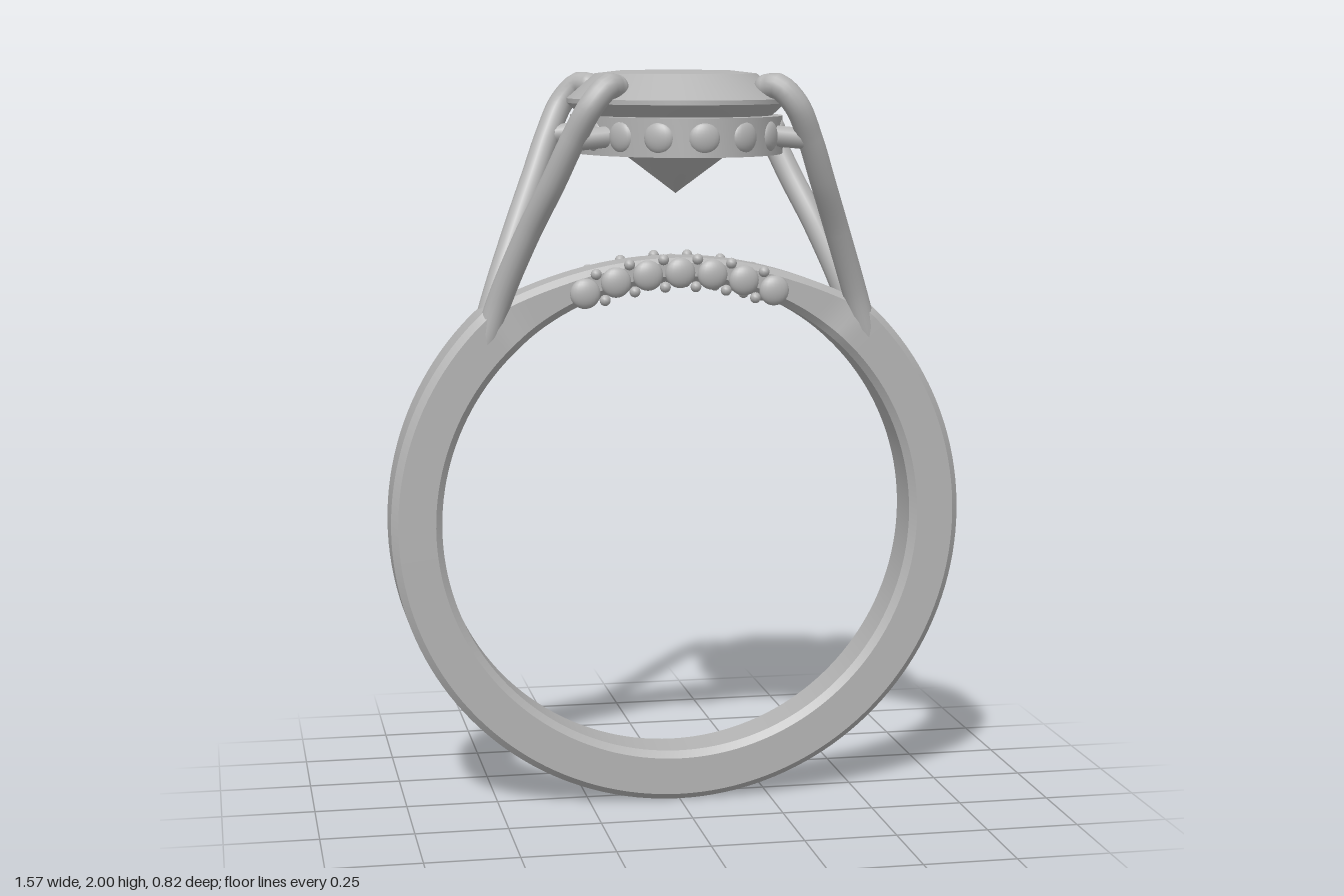
import * as THREE from 'three';
import { toCreasedNormals } from 'three/addons/utils/BufferGeometryUtils.js';

const CY = 0.785; // centre height of the band

export function createModel() {
  const root = new THREE.Group();
  root.name = 'ring';
  const metal = new THREE.MeshStandardMaterial({ color: 0xb4b4b4 });
  metal.name = 'greyMetal';

  const add = (geometry, name, parent = root) => {
    const mesh = new THREE.Mesh(geometry, metal);
    mesh.name = name;
    parent.add(mesh);
    return mesh;
  };
  const group = (name) => {
    const g = new THREE.Group();
    g.name = name;
    root.add(g);
    return g;
  };

  // Band: chamfered section swept round the finger, flattened into a bridge on top
  add(bandGeometry(), 'band');

  // Side stones and their beads along both faces of the bridge
  const sideStones = group('bridgeStones');
  const stone = new THREE.SphereGeometry(0.041, 20, 14);
  const bead = new THREE.SphereGeometry(0.015, 10, 8);
  const place = (geometry, name, r, t, z) => {
    const m = add(geometry, name, sideStones);
    m.position.set(r * Math.sin(t), CY + r * Math.cos(t), z);
    return m;
  };
  const step = 0.131;
  for (const s of [-1, 1]) {
    for (let i = -3; i <= 3; i++) {
      place(stone, 'bridgeStone', 0.675, i * step, s * 0.07).scale.z = 0.5;
    }
    for (let i = -3; i < 3; i++) {
      for (const r of [0.639, 0.713]) place(bead, 'bead', r, (i + 0.5) * step, s * 0.075);
    }
  }

  // Oval centre gem: pavilion, girdle, crown and table
  const oval = (profile, rx, rz, crease) => {
    const pts = profile.map(([r, y]) => new THREE.Vector2(r, y));
    return toCreasedNormals(new THREE.LatheGeometry(pts, 64).scale(rx, 1, rz), crease);
  };
  add(oval([[0, 1.67], [0.5, 1.78], [0.92, 1.89], [1, 1.912], [1, 1.924], [0.74, 1.99], [0.5, 1.998], [0, 2]],
    0.29, 0.367, 0.35), 'centreGem');

  // Oval halo rail under the gem
  const HX = 0.28, HZ = 0.4;
  add(oval([[1, 1.78], [1, 1.88], [0.83, 1.88], [0.83, 1.78], [1, 1.78]], HX, HZ, 0.5), 'haloRail');

  // Halo stones spaced evenly along the oval
  const haloStones = group('haloStones');
  const path = new THREE.EllipseCurve(0, 0, HX, HZ, Math.PI / 2, Math.PI * 2.5);
  const count = 18;
  for (let i = 0; i < count; i++) {
    const p = path.getPointAt(i / count);
    const m = add(stone, 'haloStone', haloStones);
    m.position.set(p.x * 0.98, 1.83, p.y * 0.98);
    m.rotation.y = Math.atan2(p.x / (HX * HX), p.y / (HZ * HZ));
    m.scale.z = 0.45;
  }

  // Four split-shoulder prongs with rounded tips and short pegs to the halo
  const R = 0.034;
  for (const sx of [-1, 1]) {
    for (const sz of [-1, 1]) {
      const prong = group('prong');
      const v = (x, y, z) => new THREE.Vector3(sx * x, y, sz * z);
      const pts = [
        v(0.525, 1.27, 0.045), v(0.485, 1.4, 0.062), v(0.42, 1.57, 0.12), v(0.36, 1.71, 0.19),
        v(0.315, 1.82, 0.235), v(0.27, 1.91, 0.265), v(0.225, 1.958, 0.252), v(0.2, 1.956, 0.225),
      ];
      add(new THREE.TubeGeometry(new THREE.CatmullRomCurve3(pts), 48, R, 16), 'prongArm', prong);
      for (const end of [pts[0], pts[pts.length - 1]]) {
        add(new THREE.SphereGeometry(R, 16, 12), 'prongTip', prong).position.copy(end);
      }
      const peg = new THREE.LineCurve3(pts[4], v(0.215, 1.83, 0.225));
      add(new THREE.TubeGeometry(peg, 1, 0.028, 14), 'prongPeg', prong);
      add(new THREE.SphereGeometry(0.028, 14, 10), 'pegEnd', prong).position.copy(peg.v2);
    }
  }
  return root;
}

// Sweeps an eight-sided section round the band; the top follows a shallow arch
function bandGeometry() {
  const N = 160, K = 0.49, RISE = 1.5 - CY, OUT = 0.785, IN = 0.648, C = 0.018;
  const pos = [], index = [];
  for (let i = 0; i < N; i++) {
    const t = (i / N) * Math.PI * 2;
    const s = Math.sin(t), c = Math.cos(t);
    let r = OUT, h = 0.08;
    if (c > 0) {
      const a = K * s * s;
      const arch = a < 1e-6 ? RISE / c : (-c + Math.sqrt(c * c + 4 * a * RISE)) / (2 * a);
      if (arch < OUT) {
        r = arch;
        h = 0.08 - 0.01 * Math.min(1, (OUT - arch) / 0.02);
      }
    }
    const chamfer = Math.min(C, (r - IN) * 0.2);
    const section = [
      [r, -h + chamfer], [r, h - chamfer], [r - chamfer, h], [IN + C, h],
      [IN, h - C], [IN, -h + C], [IN + C, -h], [r - chamfer, -h],
    ];
    for (const [q, z] of section) pos.push(q * s, CY + q * c, z);
    for (let j = 0; j < 8; j++) {
      const n = ((i + 1) % N) * 8, k = (j + 1) % 8;
      const a = i * 8 + j, b = i * 8 + k;
      index.push(a, b, n + j, b, n + k, n + j);
    }
  }
  const g = new THREE.BufferGeometry();
  g.setAttribute('position', new THREE.Float32BufferAttribute(pos, 3));
  g.setIndex(index);
  return toCreasedNormals(g, 0.4);
}
